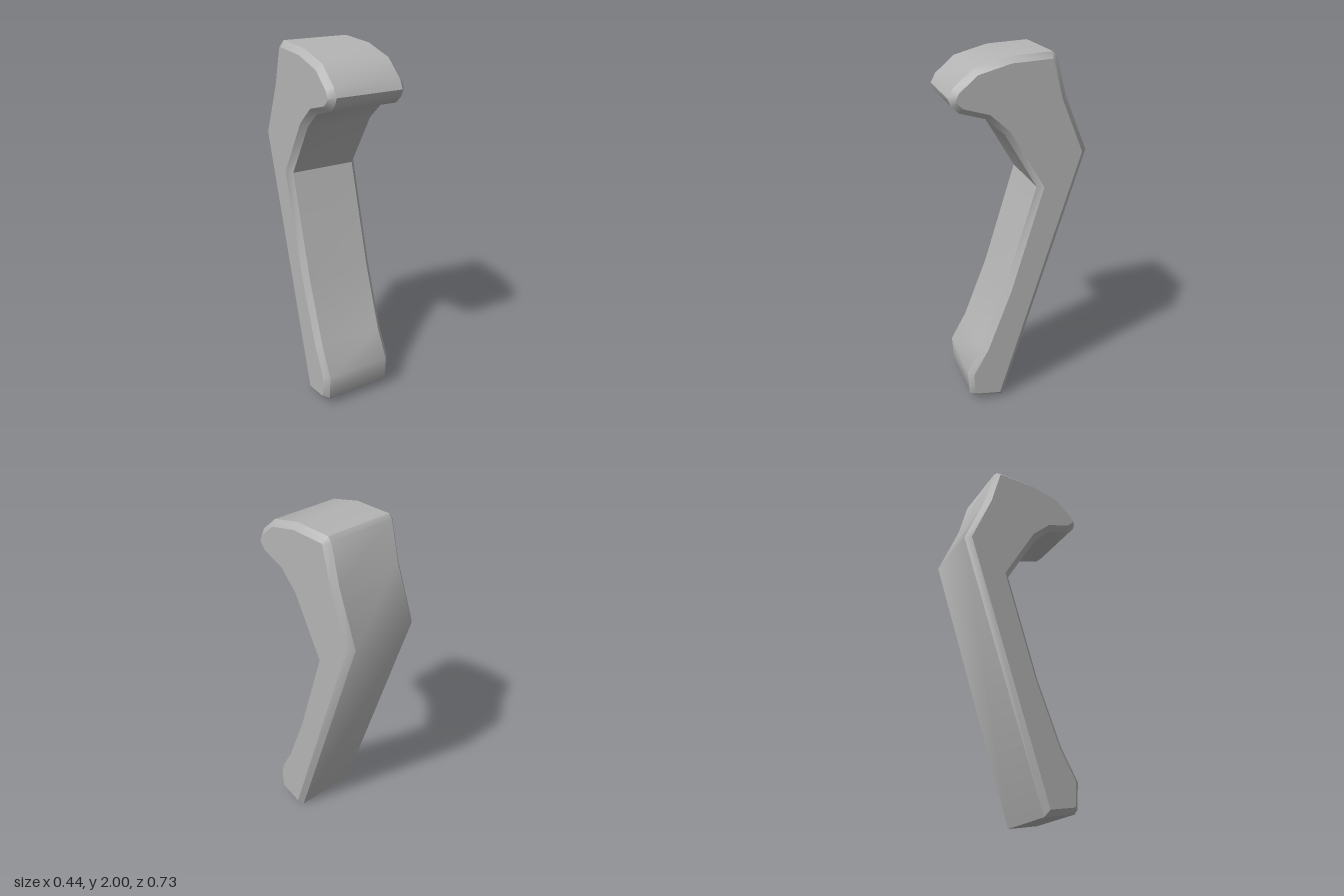
import * as THREE from 'three';
import { toCreasedNormals } from 'three/addons/utils/BufferGeometryUtils.js';

const BEVEL = 0.03;
const HALF_WIDTH = 0.218;

// Side outline of the flat face as [z, y]; the bevel grows outward from it
const OUTLINE = [
  [-0.153, 1.97], [0.055, 1.96], [0.225, 1.915], [0.32, 1.835],
  [0.337, 1.803], [0.331, 1.785], [0.302, 1.757],           // hooked nose
  [0.167, 1.717], [0.06, 1.62], [-0.125, 1.305],            // underside of the hook
  [0.055, 0.712], [0.193, 0.352], [0.281, 0.193],           // front of the shaft
  [0.274, 0.07], [0.267, 0.061], [0.126, 0.038],            // foot
  [-0.332, 1.48], [-0.213, 1.767], [-0.16, 1.963],          // back
];

export function createModel() {
  const group = new THREE.Group();
  group.name = 'hookedHandle';

  const grey = new THREE.MeshStandardMaterial({ color: 0xb4b4b4 });
  grey.name = 'plain grey';

  const shape = new THREE.Shape(OUTLINE.map(([z, y]) => new THREE.Vector2(z, y)));
  const depth = 2 * (HALF_WIDTH - BEVEL);
  const extruded = new THREE.ExtrudeGeometry(shape, {
    depth, steps: 1,
    bevelEnabled: true, bevelSegments: 1, bevelSize: BEVEL, bevelThickness: BEVEL,
  });
  extruded.translate(0, 0, -depth / 2);
  extruded.rotateY(-Math.PI / 2); // outline into the z-y plane, thickness along x

  // Smooth along the outline, sharp at the bevels and the inner bend
  const body = new THREE.Mesh(toCreasedNormals(extruded, THREE.MathUtils.degToRad(42)), grey);
  body.name = 'handleBody';
  group.add(body);
  return group;
}
